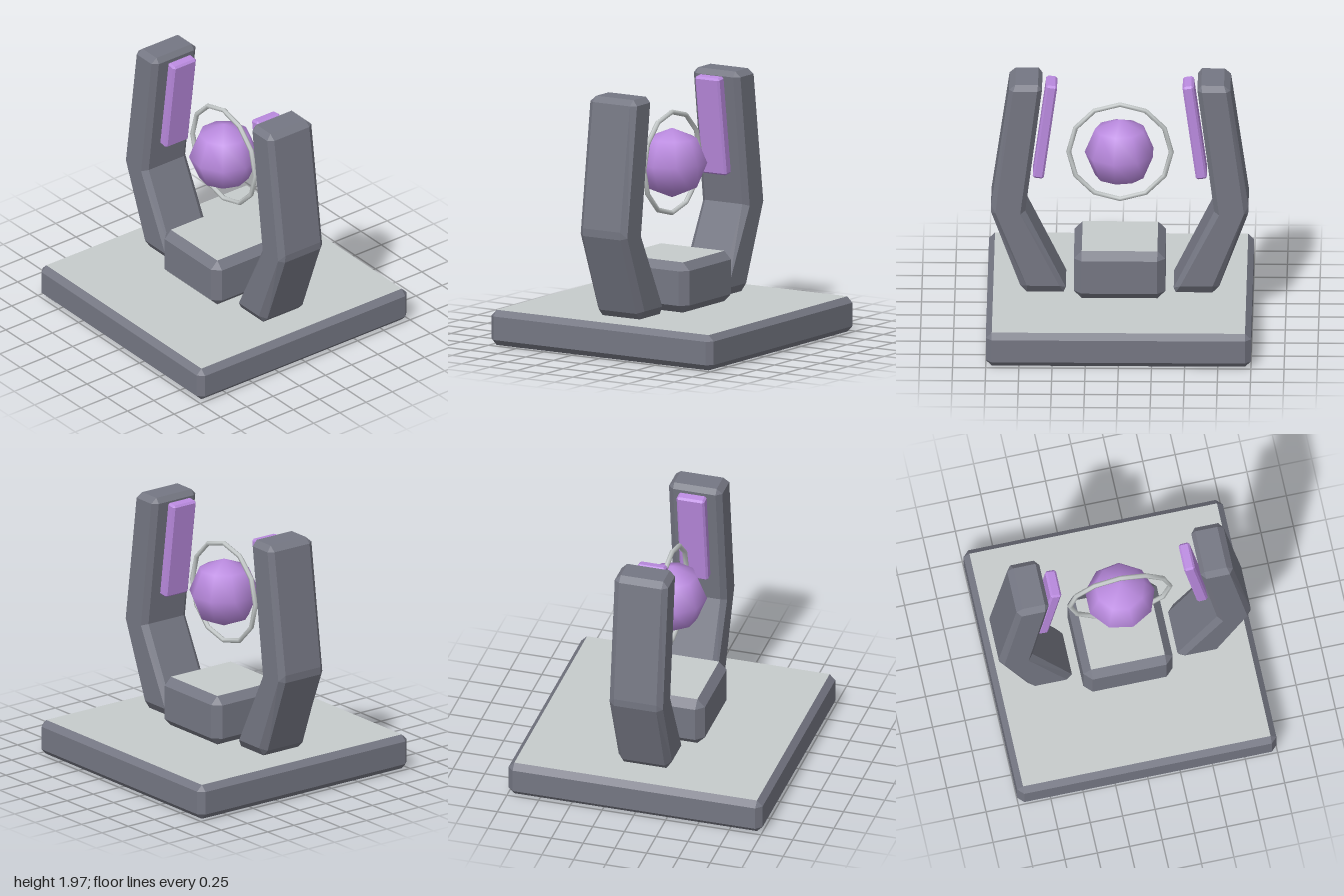
import * as THREE from 'three';

// Bevelled prism along z: outer outline on the sides, inner outline on both caps.
// Both outlines run counter-clockwise with equal counts; group 0 = sides, 1 = caps.
function bevelPrism(outer, inner, half, bevel) {
  const rings = [
    [inner, -half], [outer, bevel - half], [outer, half - bevel], [inner, half],
  ].map(([pts, z]) => pts.map(([x, y]) => new THREE.Vector3(x, y, z)));
  const pos = [];
  const tri = (a, b, c) => {
    const area = b.clone().sub(a).cross(c.clone().sub(a)).length();
    if (area > 1e-7) for (const p of [a, b, c]) pos.push(p.x, p.y, p.z);
  };
  const n = outer.length;
  for (let r = 0; r < 3; r++) {
    for (let i = 0; i < n; i++) {
      const j = (i + 1) % n, lo = rings[r], hi = rings[r + 1];
      tri(lo[i], lo[j], hi[j]);
      tri(lo[i], hi[j], hi[i]);
    }
  }
  const sideCount = pos.length / 3;
  // Caps, without the repeated corners
  const keep = inner.map((p, i) => i).filter((i) => {
    const q = inner[(i + 1) % n];
    return q[0] !== inner[i][0] || q[1] !== inner[i][1];
  });
  const flat = keep.map((i) => new THREE.Vector2(...inner[i]));
  for (const [a, b, c] of THREE.ShapeUtils.triangulateShape(flat, [])) {
    const [i, j, k] = [keep[a], keep[b], keep[c]];
    tri(rings[3][i], rings[3][j], rings[3][k]);
    tri(rings[0][k], rings[0][j], rings[0][i]);
  }
  const geo = new THREE.BufferGeometry();
  geo.setAttribute('position', new THREE.Float32BufferAttribute(pos, 3));
  geo.addGroup(0, sideCount, 0);
  geo.addGroup(sideCount, pos.length / 3 - sideCount, 1);
  geo.computeVertexNormals();
  return geo;
}

// Box with every edge chamfered; w and h in the outline, d along z
function chamferBox(w, h, d, c) {
  const x = w / 2, y = h / 2, u = x - c, v = y - c;
  const outer = [[x, -v], [x, v], [u, y], [-u, y], [-x, v], [-x, -v], [-u, -y], [u, -y]];
  const inner = [[u, -v], [u, v], [u, v], [-u, v], [-u, v], [-u, -v], [-u, -v], [u, -v]];
  return bevelPrism(outer, inner, d / 2, c);
}

export function createModel() {
  const mat = (name, color) => {
    const m = new THREE.MeshStandardMaterial({ color });
    m.name = name;
    return m;
  };
  const slate = mat('slate grey', 0x757783);
  const pale = mat('pale grey', 0xc6cbcb);
  const violet = mat('violet', 0xbb8be0);

  const model = new THREE.Group();
  const add = (name, geo, material, x = 0, y = 0, z = 0) => {
    const mesh = new THREE.Mesh(geo, material);
    mesh.name = name;
    mesh.position.set(x, y, z);
    model.add(mesh);
    return mesh;
  };

  // Square base and pedestal with pale flat faces
  add('base', chamferBox(2, 2, 0.27, 0.045).rotateX(-Math.PI / 2), [slate, pale], 0, 0.135);
  add('pedestal', chamferBox(0.69, 0.69, 0.385, 0.06).rotateX(-Math.PI / 2), [slate, pale], 0, 0.4625);

  // Bent arms, counter-clockwise from the inner foot
  const armOuter = [[0.407, 0.308], [0.423, 0.27], [0.70, 0.27], [0.75, 0.32], [0.969, 0.918],
    [0.971, 0.977], [0.835, 1.925], [0.787, 1.966], [0.616, 1.966], [0.586, 1.925], [0.712, 0.934]];
  const armInner = [[0.455, 0.335], [0.455, 0.335], [0.70, 0.335], [0.70, 0.335], [0.937, 0.93],
    [0.937, 0.93], [0.803, 1.925], [0.803, 1.925], [0.622, 1.925], [0.622, 1.925], [0.75, 0.92]];
  const mirror = (pts) => pts.map(([x, y]) => [-x, y]).reverse();

  for (const [side, s] of [['left', 1], ['right', -1]]) {
    const o = s > 0 ? armOuter : mirror(armOuter);
    const i = s > 0 ? armInner : mirror(armInner);
    add(side + 'Arm', bevelPrism(o, i, 0.21, 0.043), [slate, slate]);

    // Glowing strip along the inside of the arm
    const strip = add(side + 'Strip', chamferBox(0.085, 0.765, 0.22, 0.015), [violet, violet], s * 0.565, 1.549);
    strip.rotation.z = s * 0.136;
  }

  // Floating orb and the ring around it
  add('orb', new THREE.SphereGeometry(0.2665, 9, 4).rotateY(Math.PI), violet, 0, 1.348);
  add('ring', new THREE.TorusGeometry(0.387, 0.019, 6, 12), pale, 0, 1.349);

  return model;
}
